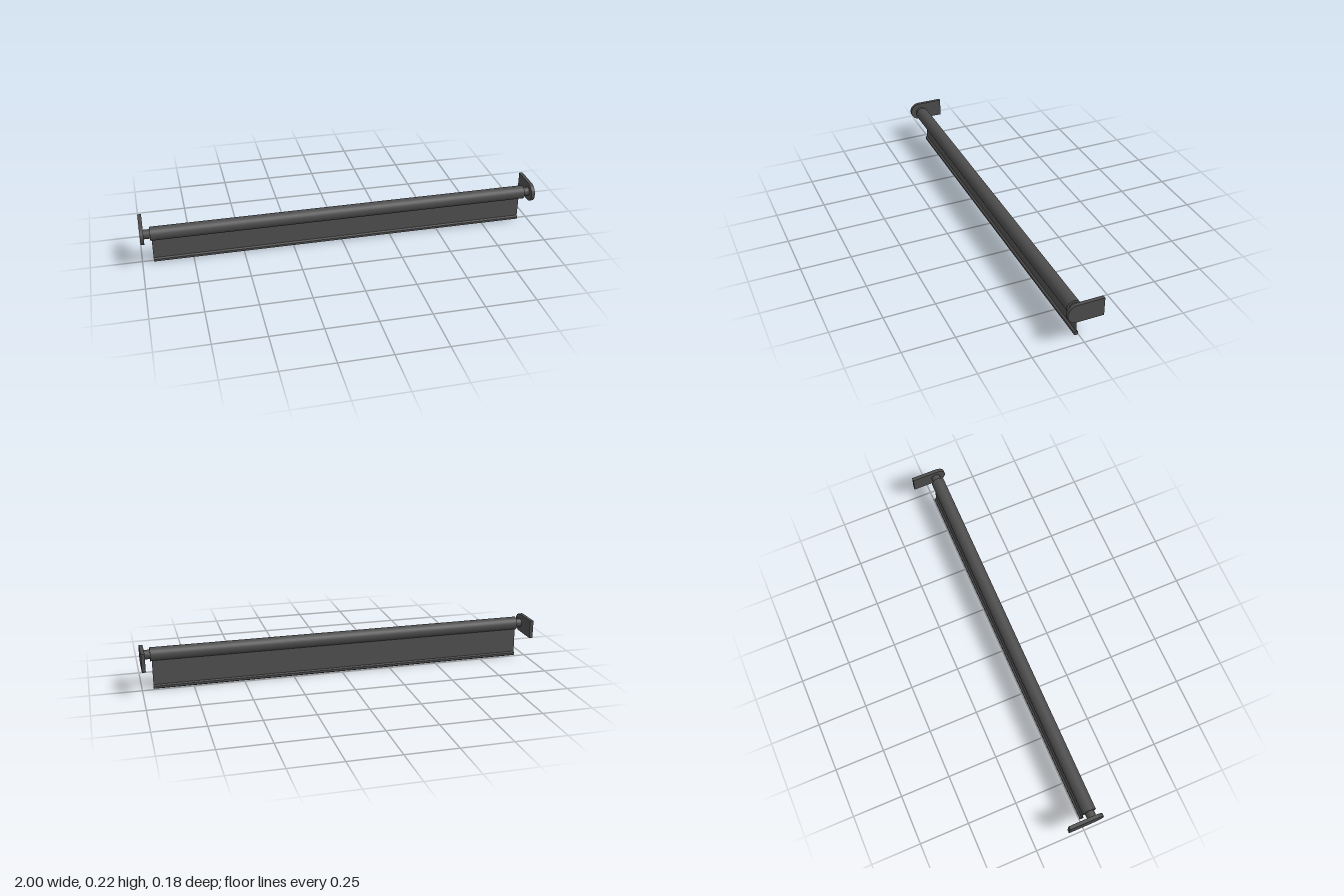
import * as THREE from 'three';

const roll = new THREE.MeshStandardMaterial({ color: 0x4c4c4c });
const hardware = new THREE.MeshStandardMaterial({ color: 0x4c4c4c });
const fabric = new THREE.MeshStandardMaterial({ color: 0x505050, side: THREE.DoubleSide });
const hem = new THREE.MeshStandardMaterial({ color: 0x4c4c4c, flatShading: true });
const AXIS_Y = 0.171, AXIS_Z = 0.035;

// Cylinder lying along x, with a corner pointing straight up
function rod(name, material, radius, length, segments, x, y, z) {
  const geometry = new THREE.CylinderGeometry(radius, radius, length, segments);
  geometry.rotateZ(Math.PI / 2);
  geometry.rotateX(Math.PI / 2);
  const mesh = new THREE.Mesh(geometry, material);
  mesh.name = name;
  mesh.position.set(x, y, z);
  return mesh;
}

// Flat plate with a rounded front end, centred on its own thickness
function bracketGeometry() {
  const r = 0.046, back = -0.088, centre = 0.042, thickness = 0.018;
  const shape = new THREE.Shape();
  shape.moveTo(back, -r);
  shape.lineTo(centre, -r);
  shape.absarc(centre, 0, r, -Math.PI / 2, Math.PI / 2, false);
  shape.lineTo(back, r);
  shape.closePath();
  const geometry = new THREE.ExtrudeGeometry(shape, { depth: thickness, bevelEnabled: false, curveSegments: 16 });
  geometry.translate(0, 0, -thickness / 2);
  geometry.rotateY(-Math.PI / 2);
  return geometry;
}

export function createModel() {
  const group = new THREE.Group();
  group.name = 'rollerBlind';

  // Rolled fabric
  group.add(rod('roll', roll, 0.034, 1.904, 32, 0, AXIS_Y, AXIS_Z));

  // Hanging sheet, leaning slightly from the back of the roll to the bar
  const sheet = new THREE.Mesh(new THREE.PlaneGeometry(1.89, 0.139), fabric);
  sheet.name = 'sheet';
  sheet.position.set(0, 0.0805, 0.013);
  sheet.rotation.x = 0.018;
  group.add(sheet);

  // Six-sided weight bar along the hem
  group.add(rod('bottomBar', hem, 0.011, 1.89, 6, 0, 0.011, 0.012));

  // Pins and wall brackets at both ends
  const plate = bracketGeometry();
  for (const side of [-1, 1]) {
    const end = side > 0 ? 'left' : 'right';
    group.add(rod(end + 'Pin', hardware, 0.023, 0.05, 24, side * 0.965, AXIS_Y, AXIS_Z));
    const bracket = new THREE.Mesh(plate, hardware);
    bracket.name = end + 'Bracket';
    bracket.position.set(side * 0.991, AXIS_Y, 0);
    group.add(bracket);
  }
  return group;
}
